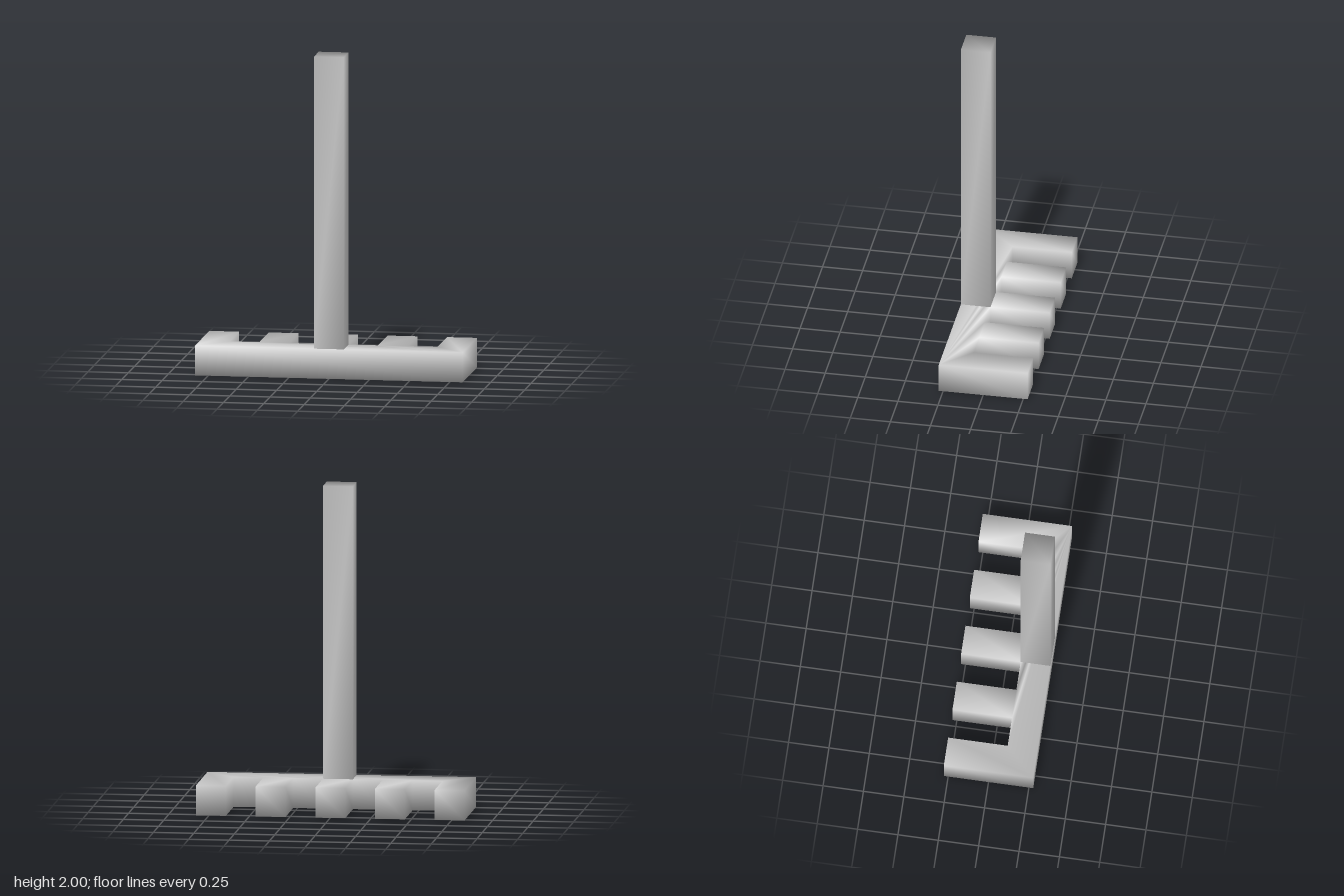
import * as THREE from 'three';
import { mergeVertices } from 'three/addons/utils/BufferGeometryUtils.js';

const W = 0.185;          // thickness of every bar
const HALF_X = 0.83;      // half length of the base
const HALF_Z = 0.277;     // half depth of the base
const TEETH = 5;

// Weld the corners so the shading runs softly across the edges
function soften(geometry) {
  geometry.deleteAttribute('normal');
  geometry.deleteAttribute('uv');
  const welded = mergeVertices(geometry, 1e-4);
  welded.computeVertexNormals();
  return welded;
}

export function createModel() {
  const group = new THREE.Group();
  const material = new THREE.MeshStandardMaterial({ color: 0xcccccc });
  const add = (name, geometry) => {
    const mesh = new THREE.Mesh(geometry, material);
    mesh.name = name;
    group.add(mesh);
    return mesh;
  };

  // Comb-shaped base: plan outline with the teeth pointing to the back
  const inner = HALF_Z - W;
  const pitch = (2 * HALF_X - W) / (TEETH - 1);
  const outline = new THREE.Shape();
  outline.moveTo(HALF_X, HALF_Z);
  outline.lineTo(-HALF_X, HALF_Z);
  for (let i = 0; i < TEETH; i++) {
    const x = -HALF_X + i * pitch;
    if (i > 0) outline.lineTo(x, inner);
    outline.lineTo(x, -HALF_Z);
    outline.lineTo(x + W, -HALF_Z);
    if (i < TEETH - 1) outline.lineTo(x + W, inner);
  }
  outline.closePath();
  const base = new THREE.ExtrudeGeometry(outline, { depth: W, bevelEnabled: false });
  base.rotateX(Math.PI / 2);
  base.translate(0, W, 0);
  add('combBase', soften(base));

  // Upright post, flush with the front of the base
  const post = add('post', soften(new THREE.BoxGeometry(W, 2 - W, W)));
  post.position.set(0, (2 + W) / 2, HALF_Z - W / 2);

  return group;
}
